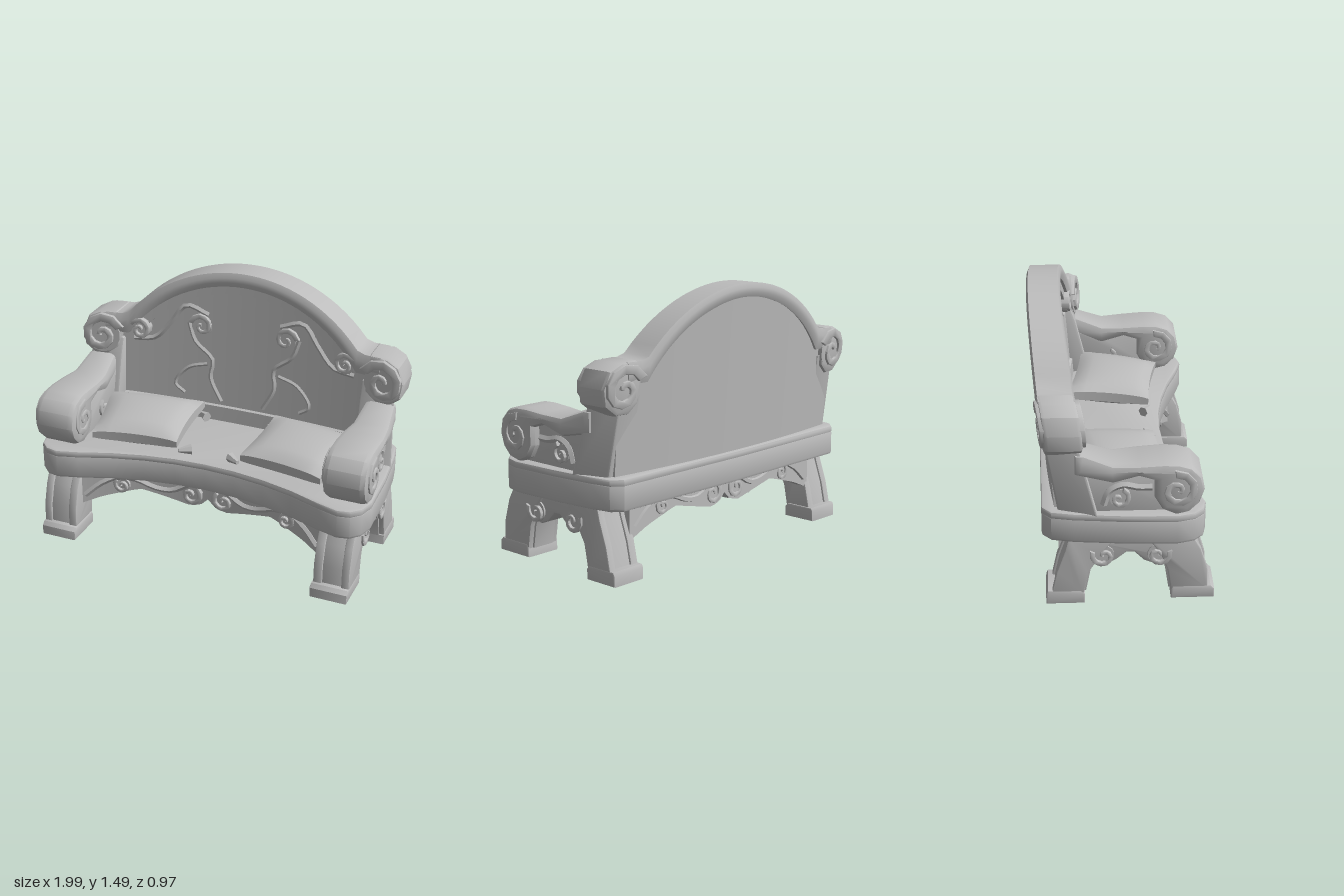
import * as THREE from 'three';
import { mergeGeometries, toCreasedNormals } from 'three/addons/utils/BufferGeometryUtils.js';

const stone = new THREE.MeshStandardMaterial({ color: 0xbcbcbc });
stone.name = 'grey stone';

const { lerp, clamp } = THREE.MathUtils;
const plain = (g) => (g.index ? g.toNonIndexed() : g);
const join = (...list) => mergeGeometries(list.map(plain));

// Moves every vertex by a rule (x, y, z) => [x, y, z]
function warp(geo, rule) {
  const p = geo.attributes.position;
  for (let i = 0; i < p.count; i++) p.setXYZ(i, ...rule(p.getX(i), p.getY(i), p.getZ(i)));
  return geo;
}
// Box grid with u in -1..1 and v, w in 0..1, shaped by a rule
const grid = (nx, ny, nz, rule) =>
  warp(new THREE.BoxGeometry(2, 1, 1, nx, ny, nz), (x, y, z) => rule(x, y + 0.5, z + 0.5));

// Mirrored copy across x with the winding kept outward
function mirrored(geo) {
  const g = plain(geo).clone().scale(-1, 1, 1);
  for (const a of Object.values(g.attributes)) {
    const n = a.itemSize, arr = a.array;
    for (let t = 0; t < arr.length; t += 3 * n)
      for (let k = 0; k < n; k++) [arr[t + n + k], arr[t + 2 * n + k]] = [arr[t + 2 * n + k], arr[t + n + k]];
  }
  return g;
}

// Outline pushed from z = a to z = b with bevelled edges
function slab(points, a, b, bevel = 0.012) {
  const shape = new THREE.Shape(points.map((p) => new THREE.Vector2(...p)));
  return new THREE.ExtrudeGeometry(shape, {
    depth: b - a - 2 * bevel, bevelEnabled: true, bevelSize: bevel,
    bevelThickness: bevel, bevelOffset: -bevel, bevelSegments: 2,
  }).translate(0, 0, a + bevel);
}
// Turns a (z, y) outline slab so that its depth runs along x
const sideways = (g) => g.rotateY(-Math.PI / 2);
const slabX = (points, a, b, bevel) => sideways(slab(points, -b, -a, bevel));
// Turns an (x, z) outline slab so that its depth runs along y
const slabY = (points, a, b, bevel) => slab(points, -b, -a, bevel).rotateX(Math.PI / 2);

// Volute: spiral ribbon around a recessed disc
function volute(cx, cy, r, start, dir, a, b, turns = 1.4) {
  const outer = [], inner = [], n = Math.round(turns * 11);
  for (let i = 0; i <= n; i++) {
    const t = i / n, ang = start + dir * Math.PI * 2 * turns * t;
    const ro = lerp(r, r * 0.2, t), ri = ro - lerp(r * 0.36, r * 0.19, t);
    outer.push([cx + ro * Math.cos(ang), cy + ro * Math.sin(ang)]);
    inner.unshift([cx + ri * Math.cos(ang), cy + ri * Math.sin(ang)]);
  }
  const inset = Math.min(0.018, (b - a) * 0.25);
  const disc = new THREE.CylinderGeometry(r * 0.72, r * 0.72, b - a - 2 * inset, 14)
    .rotateX(Math.PI / 2).translate(cx, cy, (a + b) / 2);
  return join(slab([...outer, ...inner], a, b, r * 0.04), disc);
}

// Plan curve of the seat front and height curve of the arched back
const frontZ = (x) => 0.25 + 0.15 * (x / 0.72) ** 2;
const arch = (x, r) => 0.558 + Math.sqrt(Math.max(0, r * r - x * x));
// Lean and concave bow shared by all parts of the back
const bow = (geo) => warp(geo, (x, y, z) => [x, y, z - 0.075 * (y - 0.56) + 0.06 * (x / 0.9) ** 2]);

const APRON = [[0, 0.31], [0.05, 0.26], [0.12, 0.25], [0.25, 0.28], [0.4, 0.315], [0.52, 0.28], [0.62, 0.25], [0.76, 0.19]];
function apronBottom(x) {
  const i = Math.max(1, APRON.findIndex((p) => p[0] >= Math.abs(x) - 1e-6));
  const [a, b] = [APRON[i - 1], APRON[i]];
  return lerp(a[1], b[1], (Math.abs(x) - a[0]) / (b[0] - a[0]));
}

export function createModel() {
  const model = new THREE.Group();
  model.name = 'carvedBench';
  const add = (name, geo) => {
    const mesh = new THREE.Mesh(toCreasedNormals(plain(geo), 0.6), stone);
    mesh.name = name;
    model.add(mesh);
  };
  const pair = (name, geo) => {
    add(name + 'Left', geo);
    add(name + 'Right', mirrored(geo));
  };

  // Seat slab with a concave front, narrower at the back, and a moulded upper lip
  const half = [0.18, 0.36, 0.54, 0.72].map((x) => [x, frontZ(x)])
    .concat([[0.84, 0.435], [0.91, 0.42], [0.96, 0.37], [0.985, 0.28], [0.975, 0], [0.95, -0.25], [0.925, -0.37], [0.87, -0.42]]);
  const plan = [[0, 0.25], ...half, [0, -0.435], ...half.map(([x, z]) => [-x, z]).reverse()];
  add('seat', slabY(plan, 0.388, 0.54, 0.018));
  add('seatLip', slabY(plan, 0.518, 0.562, 0.012));

  // Bowed back panel with its bottom ledge
  add('backPanel', bow(grid(28, 8, 1, (u, v, w) => {
    const x = u * 0.87;
    return [x, lerp(0.53, Math.max(arch(x, 0.89), 1.02), v), lerp(-0.408, -0.285, w)];
  })));
  add('backLedge', bow(grid(16, 1, 1, (u, v, w) => [u * 0.74, lerp(0.55, 0.67 - 0.02 * w, v), lerp(-0.32, -0.27, w)])));

  // Arched top rail running into the end scrolls, and its inner moulding
  add('topRail', bow(grid(36, 3, 1, (u, v, w) => {
    const x = u * 0.84, edge = v === 1 || v === 0 ? 0.012 : 0;
    const top = Math.max(arch(x, 0.93), 1.155), low = Math.max(arch(x, 0.85), 1.04);
    return [x, lerp(low, top, v), w ? -0.235 - edge : -0.418 + edge - 0.025 * u * u];
  })));
  add('innerMoulding', bow(grid(24, 1, 1, (u, v, w) => {
    const x = u * 0.66;
    return [x, lerp(arch(x, 0.8), arch(x, 0.87), v), lerp(-0.33, -0.264, w)];
  })));
  pair('railScroll', bow(volute(0.86, 1.015, 0.15, 2.7, -1, -0.45, -0.22)));
  pair('railScrollCore', bow(slab([[0.74, 1.12], [0.78, 1.16], [0.88, 1.155], [0.95, 1.12], [0.985, 1.03], [0.97, 0.94],
    [0.9, 0.885], [0.82, 0.885], [0.76, 0.94]], -0.435, -0.24, 0.02)));
  pair('innerCurl', bow(volute(0.63, 1.07, 0.08, 0.5, 1, -0.31, -0.235)));

  // Relief carving on the front of the back
  const vine = (pts, r) => bow(new THREE.TubeGeometry(
    new THREE.CatmullRomCurve3(pts.map(([x, y]) => new THREE.Vector3(x, y, -0.288))), 14, r, 5));
  pair('carvedCurl', bow(volute(0.26, 1.13, 0.085, 0.2, 1, -0.31, -0.265, 1.2)));
  pair('carvedVine', join(
    vine([[0.34, 1.14], [0.3, 1.03], [0.19, 0.93], [0.2, 0.82], [0.13, 0.68]], 0.014),
    vine([[0.22, 1.2], [0.36, 1.24], [0.45, 1.13], [0.55, 1.02], [0.68, 1.0]], 0.016),
    vine([[0.22, 0.9], [0.34, 0.86], [0.42, 0.75], [0.36, 0.7]], 0.012)));

  // Wedge posts at the ends of the back, drawn in towards the rear
  pair('backPost', warp(slabX([[-0.13, 0.55], [-0.215, 0.9], [-0.25, 1.0], [-0.41, 1.0], [-0.335, 0.55]], 0.735, 0.965),
    (x, y, z) => [x > 0.85 ? x - 0.32 * clamp(-0.13 - z, 0, 0.27) : x, y, z]));

  // Armrests: rolled top, recessed side panel and volutes
  const armRoll = [[-0.25, 0.9], [-0.2, 0.9], [-0.05, 0.845], [0.08, 0.852], [0.2, 0.86], [0.28, 0.857], [0.35, 0.835], [0.4, 0.78],
    [0.415, 0.7], [0.39, 0.625], [0.34, 0.575], [0.27, 0.558], [0.2, 0.59], [0.16, 0.66], [0.16, 0.76],
    [0.08, 0.785], [-0.05, 0.74], [-0.25, 0.78]];
  pair('armRoll', warp(slabX(armRoll, 0.735, 0.985, 0.035),
    (x, y, z) => [x + (x > 0.86 ? -0.035 : 0.035) * clamp((0.1 - z) / 0.3, 0, 1), y, z]));
  pair('armPanel', slabX([[-0.22, 0.55], [-0.22, 0.82], [-0.06, 0.79], [0.1, 0.81], [0.25, 0.75], [0.28, 0.55]], 0.765, 0.92));
  pair('armScroll', sideways(volute(0.275, 0.71, 0.122, 1.7, -1, -0.995, -0.728)));
  pair('armCurl', sideways(volute(-0.02, 0.64, 0.07, 1.2, -1, -0.945, -0.75, 1.1)));
  pair('armVine', new THREE.TubeGeometry(new THREE.CatmullRomCurve3(
    [[0.15, 0.7], [0.08, 0.7], [0, 0.715], [-0.07, 0.68], [-0.1, 0.6]].map(([z, y]) => new THREE.Vector3(0.918, y, z))), 12, 0.02, 5));

  // Curved legs: two cheeks around a recessed core, standing on block feet
  const legs = {
    front: { s: -1, foot: [0.255, 0.485, 0.02, 0.095],
      side: [[0.45, 0.07], [0.445, 0.2], [0.41, 0.32], [0.36, 0.41], [0.12, 0.41], [0.2, 0.29], [0.235, 0.2], [0.255, 0.07]] },
    back: { s: 1, foot: [-0.405, -0.2, 0, 0.08],
      side: [[-0.375, 0.06], [-0.345, 0.2], [-0.3, 0.33], [-0.28, 0.41], [-0.03, 0.41], [-0.12, 0.29], [-0.18, 0.19], [-0.205, 0.06]] },
  };
  for (const [name, { s, foot: [z0, z1, y0, y1], side }] of Object.entries(legs)) {
    const core = side.map(([z, y]) => [z + 0.012 * s, y]);
    pair(name + 'Leg', join(slabX(side, 0.725, 0.775, 0.008), slabX(side, 0.885, 0.93, 0.008), slabX(core, 0.76, 0.9, 0.004)));
    pair(name + 'Foot', slabX([[z0, y0], [z1, y0], [z1, y1 - 0.02], [z1 - 0.02, y1], [z0 + 0.01, y1], [z0, y1 - 0.02]], 0.718, 0.932, 0.008));
  }

  // Side aprons with paired curls
  pair('sideApron', slabX([[0.34, 0.41], [0.26, 0.26], [0.17, 0.225], [0.11, 0.25], [0.06, 0.302], [0.02, 0.302],
    [-0.03, 0.26], [-0.09, 0.225], [-0.18, 0.26], [-0.28, 0.41]], 0.76, 0.915));
  pair('sideApronCurl', join(
    sideways(volute(0.185, 0.295, 0.078, 0.4, -1, -0.942, -0.75, 1.1)),
    sideways(volute(-0.1, 0.295, 0.078, 2.7, 1, -0.942, -0.75, 1.1))));

  // Scalloped front and back aprons with curls and a flowing vine
  const apron = (zOf) => grid(38, 1, 1, (u, v, w) => {
    const x = u * 0.75;
    return [x, lerp(apronBottom(x), 0.41, v), zOf(x) - 0.075 * (1 - w)];
  });
  const faces = { front: (x) => frontZ(x) - 0.045, back: () => -0.26 };
  for (const [name, face] of Object.entries(faces)) {
    const rear = name === 'back';
    add(name + 'Apron', apron(face));
    pair(name + 'ApronCurl', join(...[[0.1, 0.325, 0.078, 2.2, 1], [0.5, 0.335, 0.06, 0.8, -1]]
      .map(([x, y, r, a, d]) => volute(x, y, r, a, d, face(x) - 0.085, face(x) + (rear ? 0 : 0.022), 1.2))));
    const scroll = new THREE.CatmullRomCurve3([[0.12, 0.385], [0.22, 0.33], [0.32, 0.335], [0.42, 0.375], [0.52, 0.385], [0.62, 0.34], [0.71, 0.26]]
      .map(([x, y]) => new THREE.Vector3(x, y, face(x) - (rear ? 0.075 : 0))));
    pair(name + 'ApronVine', new THREE.TubeGeometry(scroll, 16, 0.018, 5));
  }

  // Plump cushions, wider towards the back, with corner tassels
  pair('cushion', grid(10, 3, 10, (u, v, w) => {
    const s = w * 2 - 1, plump = ((1 - u * u * 0.98) * (1 - s * s * 0.98)) ** 0.4;
    const x = u * (0.27 - 0.02 * s) * (1 - 0.06 * (1 - s * s));
    return [x, (v - 0.5) * (0.03 + 0.135 * plump), s * 0.235 * (1 - 0.06 * (1 - u * u))];
  }).rotateX(0.07).rotateY(-0.15).translate(0.475, 0.635, 0.005));
  for (const [name, x, z, turn] of [['backTassel', 0.225, -0.25, 0.6], ['frontTassel', 0.15, 0.185, -0.6]])
    pair(name, new THREE.CylinderGeometry(0.012, 0.03, 0.075, 6).rotateZ(-Math.PI / 2).rotateY(turn).translate(x, 0.59, z));

  return model;
}
